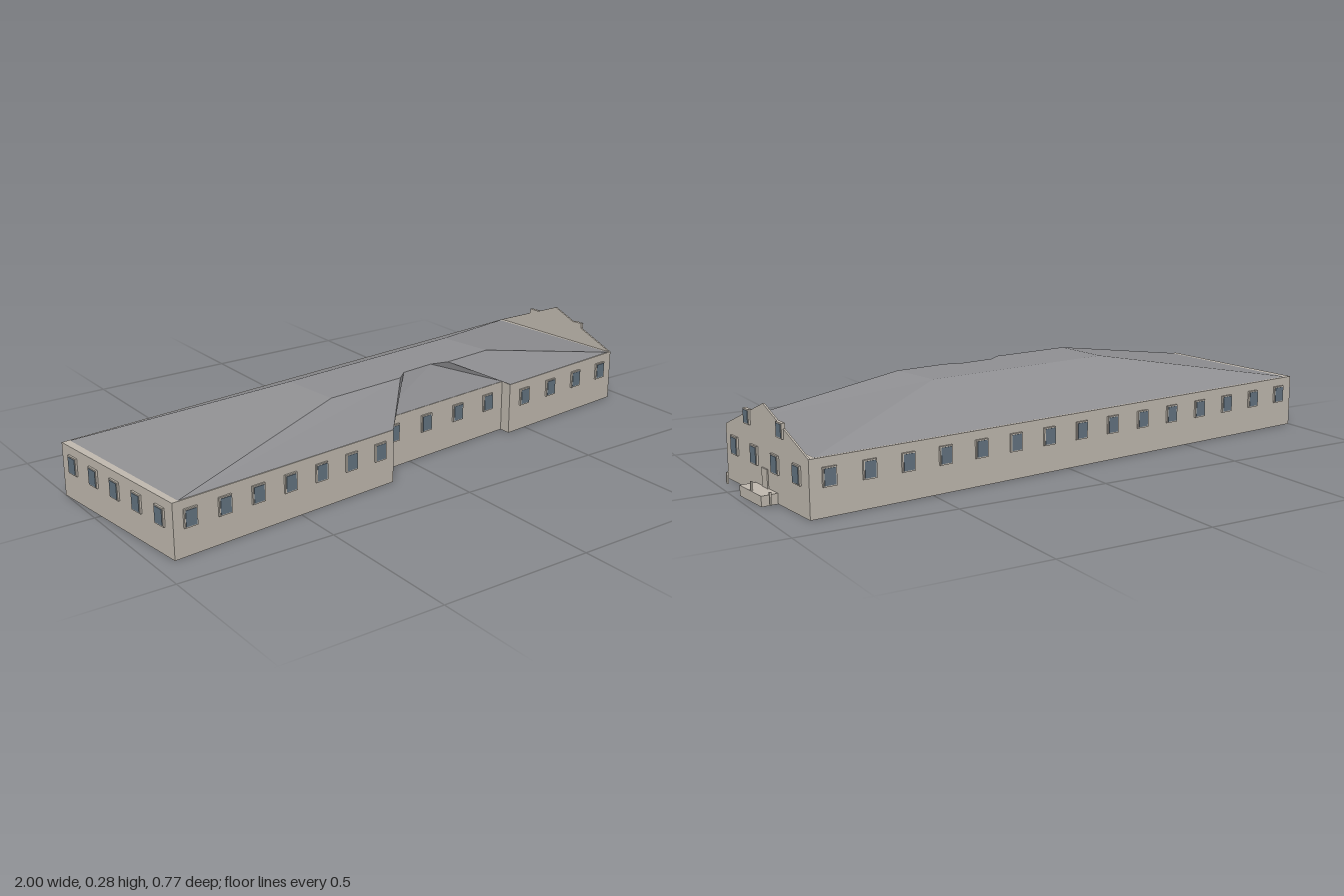
import * as THREE from 'three';

const wallMat = new THREE.MeshStandardMaterial({ color: 0xbfb8ae, side: THREE.DoubleSide });
wallMat.name = 'plaster';
const roofMat = new THREE.MeshStandardMaterial({ color: 0x8f8f92, side: THREE.DoubleSide });
roofMat.name = 'roofing';
const glassMat = new THREE.MeshStandardMaterial({ color: 0x637380 });
glassMat.name = 'glass';

const EAVE = 0.172, TOP = 0.28;

// Footprint corners as [x, z], walked with the outside on the right hand
const plan = [
  [-0.94, 0.38], [-0.14, 0.30], [-0.145, 0.215], [0.42, 0.16],
  [0.42, 0.2], [0.945, 0.145], [0.9, -0.385], [-1, -0.2],
];

function add(parent, geometry, material, name, x = 0, y = 0, z = 0) {
  const mesh = new THREE.Mesh(geometry, material);
  mesh.name = name;
  mesh.position.set(x, y, z);
  parent.add(mesh);
  return mesh;
}

const box = (w, h, d) => new THREE.BoxGeometry(w, h, d);

// Group in a wall's own frame: x along the wall from its middle, z outwards
function wallFrame(i, name) {
  const [ax, az] = plan[i], [bx, bz] = plan[(i + 1) % plan.length];
  const group = new THREE.Group();
  group.name = name;
  group.position.set((ax + bx) / 2, 0, (az + bz) / 2);
  group.rotation.y = Math.atan2(az - bz, bx - ax);
  group.userData.length = Math.hypot(bx - ax, bz - az);
  return group;
}

function addWindow(parent, x, y, w, h) {
  const win = new THREE.Group();
  win.name = 'window';
  win.position.set(x, y, 0);
  add(win, box(w, h, 0.012), wallMat, 'windowFrame');
  add(win, box(w - 0.008, h - 0.008, 0.002), glassMat, 'windowPane', 0, 0, 0.0065);
  parent.add(win);
}

// Flat faces, each a fan of [x, y, z] corners
function facesGeometry(faces) {
  const pos = [];
  for (const f of faces)
    for (let i = 1; i < f.length - 1; i++) pos.push(...f[0], ...f[i], ...f[i + 1]);
  const g = new THREE.BufferGeometry();
  g.setAttribute('position', new THREE.Float32BufferAttribute(pos, 3));
  g.computeVertexNormals();
  return g;
}

function buildRoof() {
  const low = (x, z) => [x, EAVE + 0.001, z], high = (x, z) => [x, TOP, z];
  // Eave corners
  const fl = low(-0.92, 0.376), s1 = low(-0.14, 0.30), s2 = low(-0.145, 0.215);
  const s3 = low(0.42, 0.16), s4 = low(0.42, 0.2), fr = low(0.93, 0.145);
  const br = low(0.88, -0.378), bl = low(-0.975, -0.196);
  // Corners of the flat top
  const a = high(-0.32, 0), b = high(0.35, -0.065), c = high(0.38, 0.12), d = high(0.2, 0.14);
  const e = high(0.14, 0.125), f = high(0.02, 0.14), g = high(-0.02, 0.175), h = high(-0.3, 0.2);
  return facesGeometry([
    [a, h, g, f, e, d, c, b],
    [fl, s1, g, h], [s1, s2, f, g], [s2, s3, e, f], [s3, s4, d, e], [s4, fr, c, d],
    [fr, br, b, c], [br, bl, a, b], [bl, fl, h, a],
  ]);
}

export function createModel() {
  const model = new THREE.Group();
  model.name = 'longBuilding';

  // Wall block
  const shape = new THREE.Shape(plan.map(([x, z]) => new THREE.Vector2(x, -z)));
  const walls = new THREE.ExtrudeGeometry(shape, { depth: EAVE, bevelEnabled: false });
  walls.rotateX(-Math.PI / 2);
  add(model, walls, wallMat, 'walls');
  add(model, buildRoof(), roofMat, 'roof');

  // Window rows: wall index, name, count, spacing, offset along the wall
  const rows = [
    [0, 'frontLeftWindows', 7, 0.1155, 0],
    [1, 'stepWindow', 1, 0, 0],
    [2, 'frontMiddleWindows', 4, 0.141, 0.002],
    [4, 'frontRightWindows', 4, 0.132, 0.005],
    [5, 'entranceEndWindows', 4, 0.1335, -0.003],
    [6, 'backWindows', 15, 0.1275, 0],
    [7, 'farEndWindows', 5, 0.115, 0],
  ];
  for (const [wall, name, count, gap, shift] of rows) {
    const row = wallFrame(wall, name);
    for (let i = 0; i < count; i++)
      addWindow(row, shift + (i - (count - 1) / 2) * gap, 0.116, 0.044, 0.057);
    model.add(row);
  }

  // Thin gable standing on the entrance end, with two attic windows
  const end = wallFrame(5, 'entranceEnd');
  const half = end.userData.length / 2;
  const gable = new THREE.Shape([
    new THREE.Vector2(-half, EAVE), new THREE.Vector2(half, EAVE), new THREE.Vector2(-0.004, TOP),
  ]);
  add(end, new THREE.ExtrudeGeometry(gable, { depth: 0.006, bevelEnabled: false }),
    wallMat, 'gable', 0, 0, -0.006);
  addWindow(end, -0.11, 0.223, 0.037, 0.046);
  addWindow(end, 0.103, 0.223, 0.037, 0.046);

  // Entrance platform, door and posts
  add(end, box(0.142, 0.032, 0.052), wallMat, 'platform', 0, 0.016, 0.026);
  add(end, box(0.035, 0.058, 0.006), wallMat, 'door', -0.004, 0.06, 0.001);
  for (const [x, z] of [[-0.131, 0.062], [0.002, 0.048], [0.135, 0.054]])
    add(end, box(0.006, 0.035, 0.006), wallMat, 'post', x, 0.042, z);
  model.add(end);

  return model;
}
